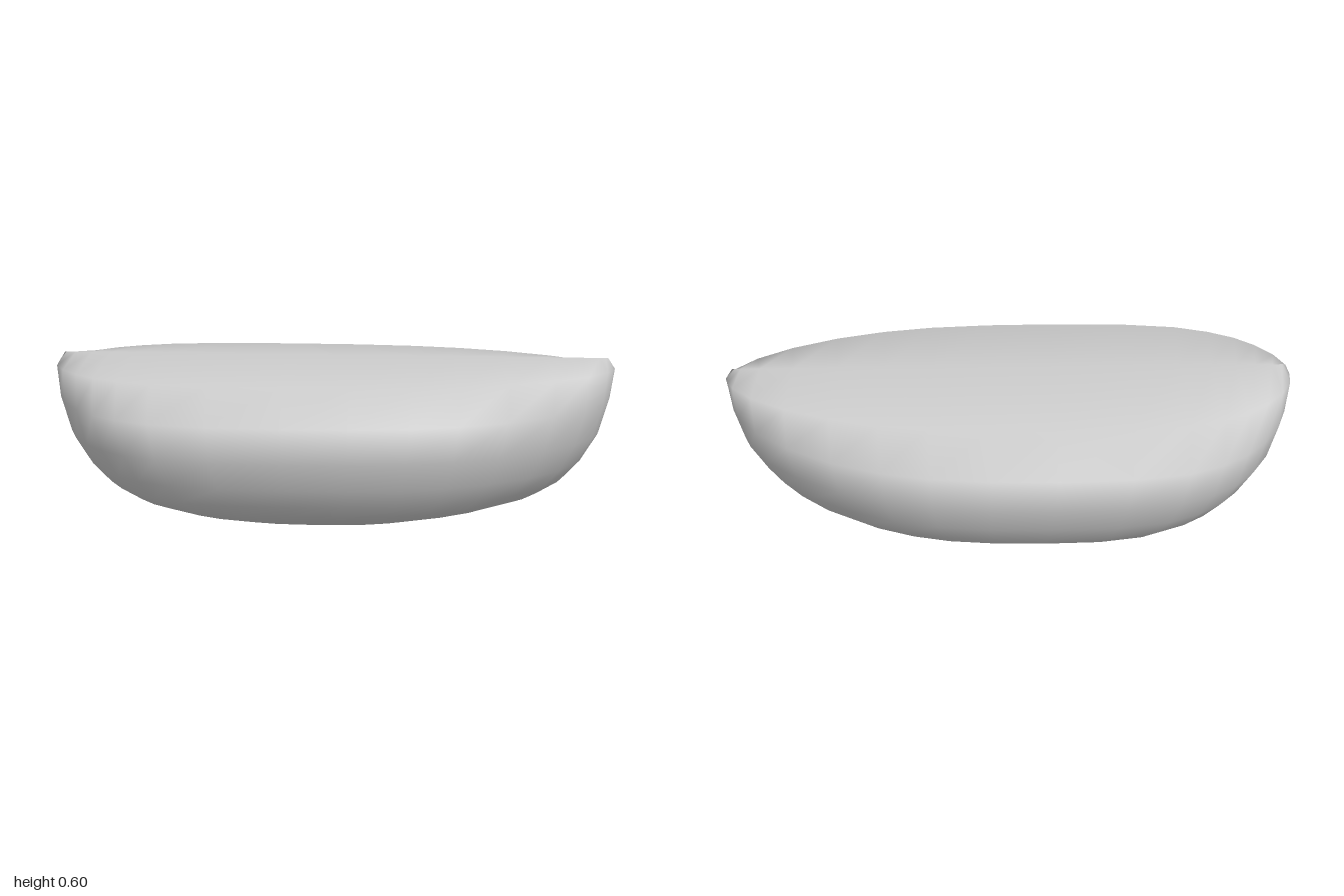
import * as THREE from 'three';
import { mergeVertices } from 'three/addons/utils/BufferGeometryUtils.js';

// Horizontal layers from keel to ridge: [height, half length, half width]
const LAYERS = [
  [0, 0.28, 0], [0.01, 0.31, 0.14], [0.035, 0.45, 0.25], [0.07, 0.62, 0.335],
  [0.11, 0.75, 0.395], [0.155, 0.825, 0.433], [0.225, 0.89, 0.47], [0.325, 0.95, 0.502],
  [0.45, 0.985, 0.502], [0.557, 1, 0.355], [0.596, 0.975, 0],
];

// Plan outline from the rounded stern to the pointed bow: [along, half width]
const PLAN = [
  [-1, 0], [-0.995, 0.16], [-0.96, 0.36], [-0.9, 0.55], [-0.83, 0.7], [-0.74, 0.82],
  [-0.62, 0.92], [-0.42, 0.985], [-0.16, 1], [0.07, 0.99], [0.28, 0.95], [0.45, 0.875],
  [0.62, 0.75], [0.78, 0.57], [0.9, 0.37], [0.97, 0.18], [0.992, 0.08], [1, 0],
];

function hullGeometry() {
  // Full ring: one side forward, the mirrored side back
  const ring = [...PLAN, ...PLAN.slice(1, -1).reverse().map(([u, w]) => [u, -w])];
  const n = ring.length;
  const positions = [];
  const index = [];
  LAYERS.forEach(([y, length, width], i) => {
    ring.forEach(([u, w], j) => {
      positions.push(u * length, y, w * width);
      if (i === LAYERS.length - 1) return;
      const a = i * n + j;
      const b = i * n + (j + 1) % n;
      index.push(a, b, b + n, a, b + n, a + n);
    });
  });
  const geometry = new THREE.BufferGeometry();
  geometry.setAttribute('position', new THREE.Float32BufferAttribute(positions, 3));
  geometry.setIndex(index);
  // Weld the keel and ridge so shading runs smoothly across them
  const welded = mergeVertices(geometry, 1e-4);
  welded.computeVertexNormals();
  return welded;
}

export function createModel() {
  const group = new THREE.Group();
  group.name = 'boatHull';
  const hull = new THREE.Mesh(hullGeometry(), new THREE.MeshStandardMaterial({ color: 0xcccccc }));
  hull.name = 'hull';
  group.add(hull);
  return group;
}
